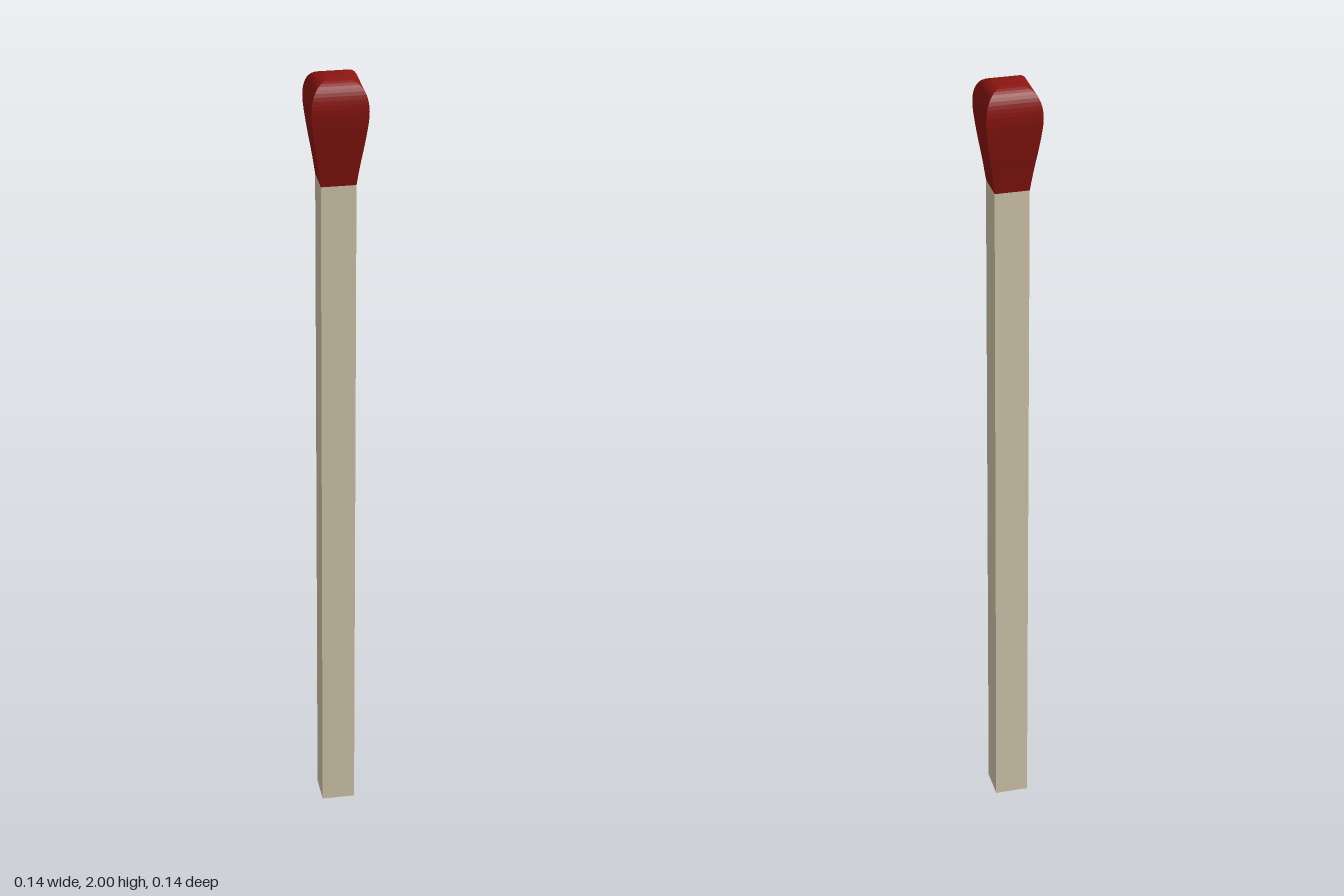
import * as THREE from 'three';

// Square-section solid: profile of [half width, height], lathed in four sides
function squareLathe(points, material, name) {
  const profile = points.map(([w, y]) => new THREE.Vector2(w * Math.SQRT2, y));
  const geometry = new THREE.LatheGeometry(profile, 4).rotateY(Math.PI / 4);
  const mesh = new THREE.Mesh(geometry, material);
  mesh.name = name;
  return mesh;
}

export function createModel() {
  const group = new THREE.Group();
  group.name = 'matchstick';
  const wood = new THREE.MeshStandardMaterial({ color: 0xd8cdb0, flatShading: true });
  const red = new THREE.MeshStandardMaterial({ color: 0x8b1510, flatShading: true });
  const grey = new THREE.MeshStandardMaterial({ color: 0xcccccc });

  // Wooden stick with a plain cut end underneath
  const half = 0.042, neck = 1.74;
  group.add(squareLathe([[half, 0], [half, neck]], wood, 'stick'));
  const end = new THREE.Mesh(new THREE.PlaneGeometry(half * 2, half * 2).rotateX(Math.PI / 2), grey);
  end.name = 'stickEnd';
  group.add(end);

  // Flared head with a rounded top
  const outline = new THREE.SplineCurve([
    [half, neck], [0.049, 1.79], [0.058, 1.845], [0.065, 1.895], [0.0675, 1.925],
    [0.066, 1.95], [0.06, 1.972], [0.049, 1.988], [0.033, 1.997], [0.016, 1.9995], [0, 2],
  ].map(([w, y]) => new THREE.Vector2(w, y)));
  const headPoints = outline.getPoints(24).map((p) => [Math.max(p.x, 0), p.y]);
  group.add(squareLathe(headPoints, red, 'head'));

  return group;
}
